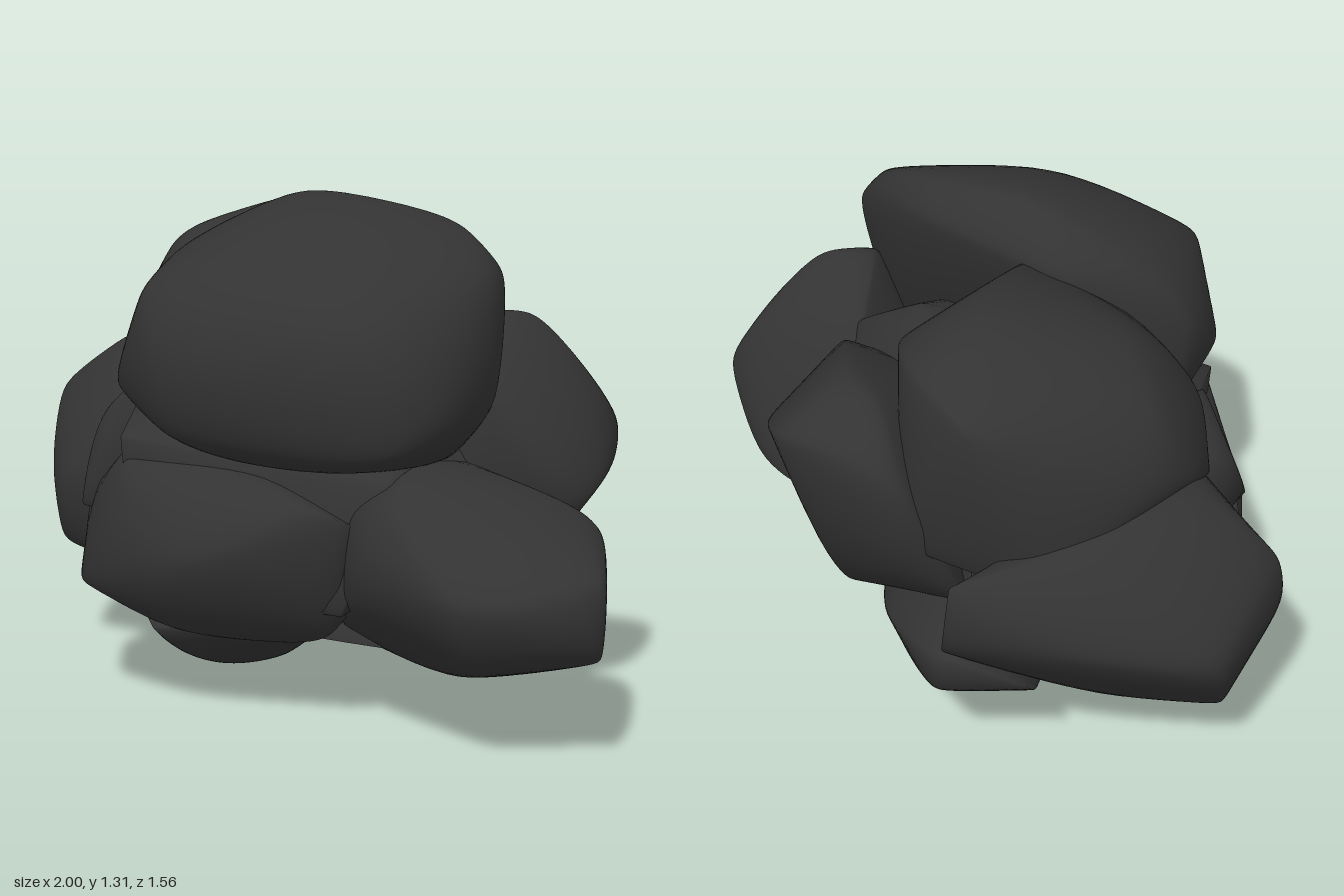
import * as THREE from 'three';
import { mergeVertices } from 'three/addons/utils/BufferGeometryUtils.js';

const material = new THREE.MeshStandardMaterial({ color: 0x333333 });

// Rounded boulder: each sphere direction is pulled to a soft blend of the
// corners lying furthest that way, so the direction is also the normal.
function boulder(name, corners) {
  const sharpness = 25;
  const swell = 1.04;
  const pts = corners.map((c) => new THREE.Vector3(...c));
  const centre = pts.reduce((s, p) => s.add(p), new THREE.Vector3()).divideScalar(pts.length);
  pts.forEach((p) => p.sub(centre).multiplyScalar(swell));

  const ball = new THREE.IcosahedronGeometry(1, 15);
  ball.deleteAttribute('uv');
  ball.deleteAttribute('normal');
  const geometry = mergeVertices(ball);
  const pos = geometry.attributes.position;
  geometry.setAttribute('normal', pos.clone());
  const n = new THREE.Vector3();
  const v = new THREE.Vector3();
  for (let i = 0; i < pos.count; i++) {
    n.fromBufferAttribute(pos, i).normalize();
    v.set(0, 0, 0);
    let total = 0;
    for (const p of pts) {
      const w = Math.exp(sharpness * n.dot(p));
      v.addScaledVector(p, w);
      total += w;
    }
    v.divideScalar(total).add(centre);
    pos.setXYZ(i, v.x, Math.max(v.y, 0), v.z);
  }
  const mesh = new THREE.Mesh(geometry, material);
  mesh.name = name;
  return mesh;
}

// Corner points of each boulder
const boulders = {
  crownBoulder: [
    [-0.1, 1.31, 0.1], [0.08, 1.31, 0.08], [0.38, 1.25, 0.08], [0.52, 1.1, 0.08], [0.54, 1.12, 0.25],
    [0.2, 1.2, -0.04], [-0.2, 1.18, -0.02], [-0.46, 1.02, 0.25], [-0.35, 1.18, 0.2],
    [-0.27, 1.08, 0.55], [0.1, 1.1, 0.58], [0.1, 1.23, 0.33], [-0.1, 1.17, 0.45], [0.25, 1.16, 0.45],
    [-0.15, 0.93, 0.67], [0.2, 0.93, 0.67], [0.42, 0.98, 0.6], [0.55, 0.8, 0.48], [0.56, 0.8, 0.2],
    [0.45, 0.7, 0.6], [0.2, 0.7, 0.65], [-0.15, 0.72, 0.64], [-0.4, 0.82, 0.48], [-0.42, 0.74, 0.2],
    [0.48, 0.65, 0.4], [0.25, 0.62, 0.55], [-0.1, 0.64, 0.5], [0.4, 0.65, 0.15],
  ],
  leftBoulder: [
    [0.55, 1.0, -0.08], [0.4, 1.0, 0], [0.5, 0.95, 0.1], [0.72, 0.8, -0.1],
    [0.6, 0.85, -0.25], [0.7, 0.7, -0.3], [0.78, 0.6, -0.05], [0.76, 0.55, 0.1],
    [0.72, 0.6, -0.22], [0.55, 0.5, -0.37], [0.4, 0.48, -0.38], [0.4, 0.36, -0.25],
    [0.65, 0.4, 0.1], [0.3, 0.4, 0.2], [0.3, 0.85, -0.2], [0.54, 0.82, 0.2], [0.62, 0.62, 0.2],
  ],
  frontLeftBoulder: [
    [0.45, 0.66, 0.45], [0.4, 0.64, 0.15], [0.78, 0.59, 0.3], [0.88, 0.5, 0.25],
    [0.99, 0.45, 0.57], [0.99, 0.25, 0.57], [0.95, 0.35, 0.41], [0.86, 0.38, 0.72], [0.7, 0.4, 0.79],
    [0.72, 0.21, 0.7], [0.52, 0.13, 0.45], [0.75, 0.16, 0.4], [0.4, 0.4, 0.66], [0.3, 0.54, 0.52],
    [0.2, 0.19, 0.3], [0.75, 0.4, 0.08], [0.2, 0.45, 0], [0.5, 0.58, 0.65], [0.62, 0.25, 0.1],
    [0.28, 0.28, 0.52],
  ],
  frontBoulder: [
    [-0.62, 0.3, 0.3], [-0.6, 0.48, 0.3], [-0.4, 0.65, 0.4], [-0.45, 0.3, 0.58],
    [-0.3, 0.6, 0.6], [-0.15, 0.4, 0.72], [0.05, 0.42, 0.72], [0.2, 0.57, 0.64],
    [0.32, 0.52, 0.58], [0.28, 0.25, 0.54], [0.18, 0.19, 0.52], [0, 0.18, 0.5], [-0.3, 0.18, 0.4],
    [0.3, 0.4, 0.2], [-0.5, 0.2, 0.1], [-0.15, 0.2, 0.62], [0, 0.64, 0.5], [-0.2, 0.6, 0.1],
  ],
  upperRightBoulder: [
    [-0.77, 0.92, -0.2], [-0.72, 0.95, -0.4], [-0.68, 1.14, -0.25], [-0.5, 1.21, -0.1],
    [-0.2, 1.29, -0.3], [-0.35, 1.29, -0.42], [-0.25, 1.22, -0.62], [-0.46, 1.17, -0.66],
    [-0.1, 1.2, -0.5], [-0.03, 1.1, -0.3], [-0.12, 1.18, 0], [-0.37, 1.05, 0.13],
    [-0.6, 0.95, 0.1], [-0.7, 0.78, 0], [-0.6, 0.7, -0.55], [-0.1, 0.7, -0.5], [-0.3, 0.6, -0.1],
    [-0.25, 0.75, -0.66], [-0.55, 0.75, 0.1],
  ],
  rightBoulder: [
    [-1, 0.6, -0.38], [-1, 0.48, -0.36], [-0.97, 0.72, -0.1], [-0.97, 0.5, -0.02],
    [-0.83, 0.5, 0.13], [-0.68, 0.55, 0.15], [-0.78, 0.88, -0.2], [-0.7, 0.85, -0.5],
    [-0.87, 0.58, -0.52], [-0.67, 0.62, -0.66], [-0.9, 0.25, -0.2], [-0.6, 0.22, -0.1],
    [-0.6, 0.25, 0.1], [-0.46, 0.76, -0.72], [-0.44, 0.55, -0.73], [-0.6, 0.82, 0],
    [-0.65, 0.28, -0.4], [-0.35, 0.5, -0.3], [-0.84, 0.3, 0.1],
  ],
  backBoulder: [
    [0, 1.02, -0.78], [0.07, 1.0, -0.78], [-0.22, 1.0, -0.74], [0, 1.13, -0.6],
    [-0.15, 1.1, -0.6], [0.21, 0.92, -0.67], [0.15, 1.03, -0.4], [0.38, 0.75, -0.4],
    [0.32, 0.8, -0.52], [0.3, 0.9, -0.25], [0.3, 0.6, -0.45], [0, 0.65, -0.72], [-0.25, 0.7, -0.7],
    [0.05, 0.4, -0.55], [0.1, 0.33, -0.35], [0, 0.8, -0.1], [-0.35, 0.55, -0.55], [-0.3, 0.9, -0.68],
  ],
  lowerBackBoulder: [
    [-0.46, 0.52, -0.71], [-0.36, 0.5, -0.73], [-0.4, 0.37, -0.72], [-0.28, 0.27, -0.64],
    [-0.05, 0.14, -0.45], [-0.15, 0.1, -0.28], [0.15, 0.2, -0.3], [-0.5, 0.25, -0.45],
    [-0.58, 0.4, -0.58], [-0.1, 0.42, -0.6], [0.2, 0.3, -0.15], [-0.35, 0.14, -0.2],
    [-0.3, 0.14, -0.45], [-0.2, 0.55, -0.4], [-0.1, 0.16, -0.1],
  ],
  baseBoulder: [
    [-0.35, -0.01, 0.1], [-0.18, 0, 0], [-0.25, -0.02, 0.12], [-0.43, 0.08, 0.25],
    [-0.25, 0.05, 0.34], [-0.05, 0.07, 0.2], [0.04, 0.14, 0.1], [-0.17, 0.01, -0.06],
    [-0.52, 0.2, 0.2], [-0.36, 0.04, -0.06], [0.06, 0.22, 0.4], [-0.3, 0.17, 0.46],
    [-0.45, 0.3, -0.12], [0.02, 0.25, -0.12],
  ],
  smallBoulder: [
    [-0.65, 0.5, 0.15], [-0.64, 0.72, 0.18], [-0.66, 0.6, 0.25], [-0.6, 0.46, 0.35],
    [-0.48, 0.78, 0.3], [-0.45, 0.8, 0.05], [-0.3, 0.6, 0.2], [-0.4, 0.4, 0.2], [-0.62, 0.7, 0.05],
  ],
  // Low ledge joining the front left boulder to the middle
  underLedge: [
    [0.6, 0.3, 0.1], [0.55, 0.2, 0.2], [0.38, 0.36, -0.26],
    [0.26, 0.2, -0.12], [0, 0.2, -0.25], [-0.4, 0.22, -0.1], [-0.3, 0.2, 0.35],
    [0.15, 0.19, 0.42], [0.5, 0.18, 0.4], [-0.3, 0.5, 0], [0.4, 0.5, 0.2],
  ],
  // Core filling the clefts between the boulders
  core: [
    [0.35, 0.88, -0.15], [0.12, 1.02, -0.12], [0, 0.95, -0.3], [0.35, 0.6, -0.32],
    [0.4, 0.62, 0.5], [0.3, 0.3, 0.55], [-0.35, 0.68, 0.5], [-0.35, 0.3, 0.45],
    [-0.58, 0.4, 0.05], [-0.55, 0.78, 0.04], [0.3, 0.35, -0.3], [-0.35, 0.4, -0.55],
    [-0.35, 0.85, -0.5], [0.55, 0.55, 0.1],
  ],
};

export function createModel() {
  const group = new THREE.Group();
  group.name = 'boulderCluster';
  for (const [name, corners] of Object.entries(boulders)) group.add(boulder(name, corners));
  return group;
}
